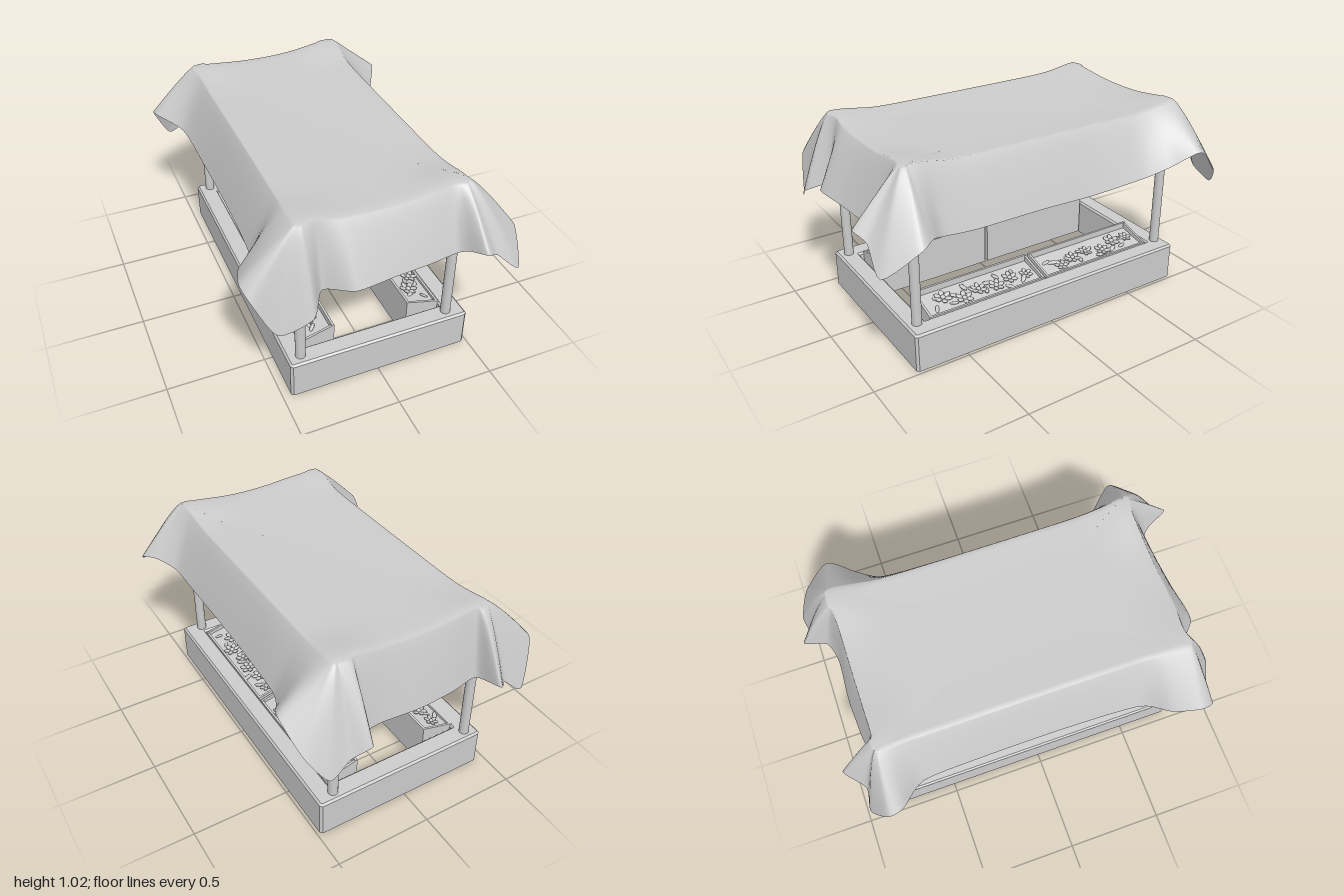
import * as THREE from 'three';
import { mergeGeometries } from 'three/addons/utils/BufferGeometryUtils.js';

const grey = new THREE.MeshStandardMaterial({ color: 0xcccccc });
const cloth = new THREE.MeshStandardMaterial({ color: 0xcccccc, side: THREE.DoubleSide });

function add(parent, name, geometry, x = 0, y = 0, z = 0, material = grey) {
  const mesh = new THREE.Mesh(geometry, material);
  mesh.name = name;
  mesh.position.set(x, y, z);
  parent.add(mesh);
  return mesh;
}

function seeded(seed) {
  return () => (seed = (seed * 16807) % 2147483647) / 2147483647;
}

function polygon(points, Type = THREE.Shape) {
  return new Type(points.map(([x, y]) => new THREE.Vector2(x, y)));
}

// Rectangle with corners cut by c
function rectangle(x0, x1, y0, y1, c, Type) {
  return polygon([
    [x0 + c, y0], [x1 - c, y0], [x1, y0 + c], [x1, y1 - c],
    [x1 - c, y1], [x0 + c, y1], [x0, y1 - c], [x0, y0 + c],
  ], Type);
}

// Thick frame with an open middle, chamfered above and flat below
function makeBase() {
  const b = 0.01;
  const shape = rectangle(-0.458 + b, 0.485 - b, -0.77 + b, 0.812 - b, 0.006);
  shape.holes.push(rectangle(-0.355 - b, 0.385 + b, -0.67 - b, 0.71 + b, 0.006, THREE.Path));
  const geometry = new THREE.ExtrudeGeometry(shape, {
    depth: 0.2 - b, bevelThickness: b, bevelSize: b, bevelSegments: 1,
  });
  geometry.rotateX(-Math.PI / 2);
  const position = geometry.attributes.position;
  for (let i = 0; i < position.count; i++) {
    position.setY(i, Math.max(0, position.getY(i)));
  }
  geometry.computeVertexNormals();
  return geometry;
}

// Bloom: a ring of flattened petals around a button
function bloom(radius) {
  const parts = [new THREE.SphereGeometry(radius * 0.3, 8, 6).scale(1, 0.7, 1).translate(0, 0.004, 0)];
  for (let i = 0; i < 6; i++) {
    const petal = new THREE.SphereGeometry(radius * 0.36, 8, 6);
    petal.scale(1.2, 0.4, 0.85).rotateZ(0.25).translate(radius * 0.62, 0.003, 0);
    parts.push(petal.rotateY((i * Math.PI) / 3));
  }
  return mergeGeometries(parts);
}

function leaf(length) {
  return new THREE.SphereGeometry(length, 8, 5).scale(1, 0.2, 0.42).rotateZ(0.2);
}

// Sloping display crate; s is the side it stands on
function makeCrate(s, z0, z1, seed) {
  const crate = new THREE.Group();
  crate.name = 'crate';
  const xIn = s > 0 ? 0.21 : -0.185;
  const width = 0.18, t = 0.012, low = 0.015;
  const mid = (z0 + z1) / 2, length = z1 - z0;
  add(crate, 'crateTallBoard', new THREE.BoxGeometry(t, 0.255 - low, length),
    xIn + s * t / 2, (0.255 + low) / 2, mid);
  add(crate, 'crateLowBoard', new THREE.BoxGeometry(t, 0.205 - low, length),
    xIn + s * (width - t / 2), (0.205 + low) / 2, mid);
  const end = polygon([[0, low], [s * width, low], [s * width, 0.205], [0, 0.255]]);
  for (const z of [z0, z1 - t]) {
    add(crate, 'crateEnd', new THREE.ExtrudeGeometry(end, { depth: t, bevelEnabled: false }), xIn, 0, z);
  }
  const tilt = -s * 0.2;
  const tray = add(crate, 'crateTray', new THREE.BoxGeometry(width - 0.01, 0.012, length - t),
    xIn + s * width / 2, 0.2, mid);
  tray.rotation.z = tilt;

  // Large blooms with leaves between, lying on the tray
  const random = seeded(seed);
  const parts = [], total = 18;
  for (let i = 0; i < total; i++) {
    const isBloom = i % 3 === 0;
    const geometry = isBloom ? bloom(0.036 + 0.01 * random()) : leaf(0.022 + 0.012 * random());
    const reach = isBloom ? 0.06 : 0.1;
    geometry.rotateY(random() * 6.28);
    geometry.translate((random() - 0.5) * reach + s * 0.012, 0.01 + 0.005 * random(),
      ((i + 0.5) / total - 0.5) * (length - 0.1));
    parts.push(geometry);
  }
  const plants = add(crate, 'flowers', mergeGeometries(parts), xIn + s * width / 2, 0.2, mid);
  plants.rotation.z = tilt;
  return crate;
}

// Hem of the canopy as x, y, z, running round from the front
const HEM = [
  [0, 0.70, 0.885], [0.18, 0.70, 0.87], [0.31, 0.71, 0.86], [0.35, 0.74, 0.90], [0.39, 0.775, 0.995],
  [0.46, 0.73, 0.96], [0.585, 0.62, 0.965], [0.652, 0.735, 0.80], [0.60, 0.745, 0.72], [0.53, 0.70, 0.63],
  [0.52, 0.68, 0.45], [0.52, 0.68, 0.1], [0.525, 0.675, -0.2], [0.55, 0.70, -0.5], [0.60, 0.75, -0.63],
  [0.665, 0.82, -0.76], [0.625, 0.68, -0.91], [0.54, 0.565, -0.98], [0.43, 0.62, -0.965], [0.34, 0.68, -0.998],
  [0.31, 0.65, -0.89], [0.2, 0.635, -0.86], [0, 0.63, -0.87], [-0.2, 0.635, -0.86], [-0.33, 0.65, -0.85],
  [-0.36, 0.68, -0.99], [-0.46, 0.61, -0.91], [-0.56, 0.54, -0.93], [-0.655, 0.74, -0.84], [-0.645, 0.76, -0.76],
  [-0.54, 0.71, -0.63], [-0.52, 0.68, -0.3], [-0.52, 0.68, 0.1], [-0.54, 0.69, 0.48], [-0.63, 0.74, 0.61],
  [-0.672, 0.768, 0.74], [-0.65, 0.72, 0.82], [-0.55, 0.537, 0.87], [-0.40, 0.62, 0.915], [-0.32, 0.67, 0.81],
  [-0.2, 0.70, 0.905],
];

// Height of the stretched cloth: peaks over the posts, slight sag between
function roofHeight(x, z) {
  let y = 0.973 + 0.01 * Math.min(1, Math.max(Math.abs(x) / 0.4, Math.abs(z) / 0.75)) ** 2;
  for (const px of [-0.39, 0.39]) for (const pz of [-0.775, 0.72]) {
    const peak = px > 0 ? 0.036 : 0.026;
    y += peak * Math.exp(-((x - px) ** 2) / 0.04 - ((z - pz) ** 2) / 0.024);
  }
  return y;
}

function makeCanopy() {
  const count = HEM.length * 5, inner = 16, outer = 14;
  const curve = new THREE.CatmullRomCurve3(
    HEM.map((p) => new THREE.Vector3(...p)), true, 'catmullrom', 0.35);
  const positions = [0, roofHeight(0, 0), 0], index = [];
  const columns = [];
  for (let i = 0; i < count; i++) {
    const hem = curve.getPoint(i / count);
    const core = new THREE.Vector3(
      THREE.MathUtils.clamp(hem.x, -0.39, 0.39), hem.y, THREE.MathUtils.clamp(hem.z, -0.775, 0.735));
    const edge = core.lerp(hem, 0.1);
    edge.y = roofHeight(edge.x, edge.z);
    const bend = edge.clone().lerp(hem, 0.32);
    bend.y = edge.y - 0.06;
    columns.push({ edge, drop: new THREE.QuadraticBezierCurve3(edge, bend, hem) });
  }
  for (let r = 1; r <= inner + outer; r++) {
    for (const { edge, drop } of columns) {
      if (r <= inner) {
        const x = edge.x * r / inner, z = edge.z * r / inner;
        positions.push(x, roofHeight(x, z), z);
      } else {
        positions.push(...drop.getPoint((r - inner) / outer).toArray());
      }
    }
  }
  for (let i = 0; i < count; i++) {
    const j = (i + 1) % count;
    index.push(0, 1 + i, 1 + j);
    for (let r = 0; r < inner + outer - 1; r++) {
      const a = 1 + r * count, b = a + count;
      index.push(a + i, b + i, b + j, a + i, b + j, a + j);
    }
  }
  const geometry = new THREE.BufferGeometry();
  geometry.setAttribute('position', new THREE.Float32BufferAttribute(positions, 3));
  geometry.setIndex(index);
  geometry.computeVertexNormals();
  return geometry;
}

export function createModel() {
  const model = new THREE.Group();
  model.name = 'marketStall';
  add(model, 'baseFrame', makeBase());

  // Corner posts
  for (const x of [-0.39, 0.39]) for (const z of [-0.763, 0.715]) {
    add(model, 'post', new THREE.CylinderGeometry(0.025, 0.025, 0.79, 20), x, 0.59, z);
  }

  // Two crates along each side
  let seed = 11;
  for (const s of [-1, 1]) for (const [z0, z1] of [[-0.695, -0.035], [-0.02, 0.645]]) {
    model.add(makeCrate(s, z0, z1, (seed += 97)));
  }

  add(model, 'canopy', makeCanopy(), 0, 0, 0, cloth);
  return model;
}
